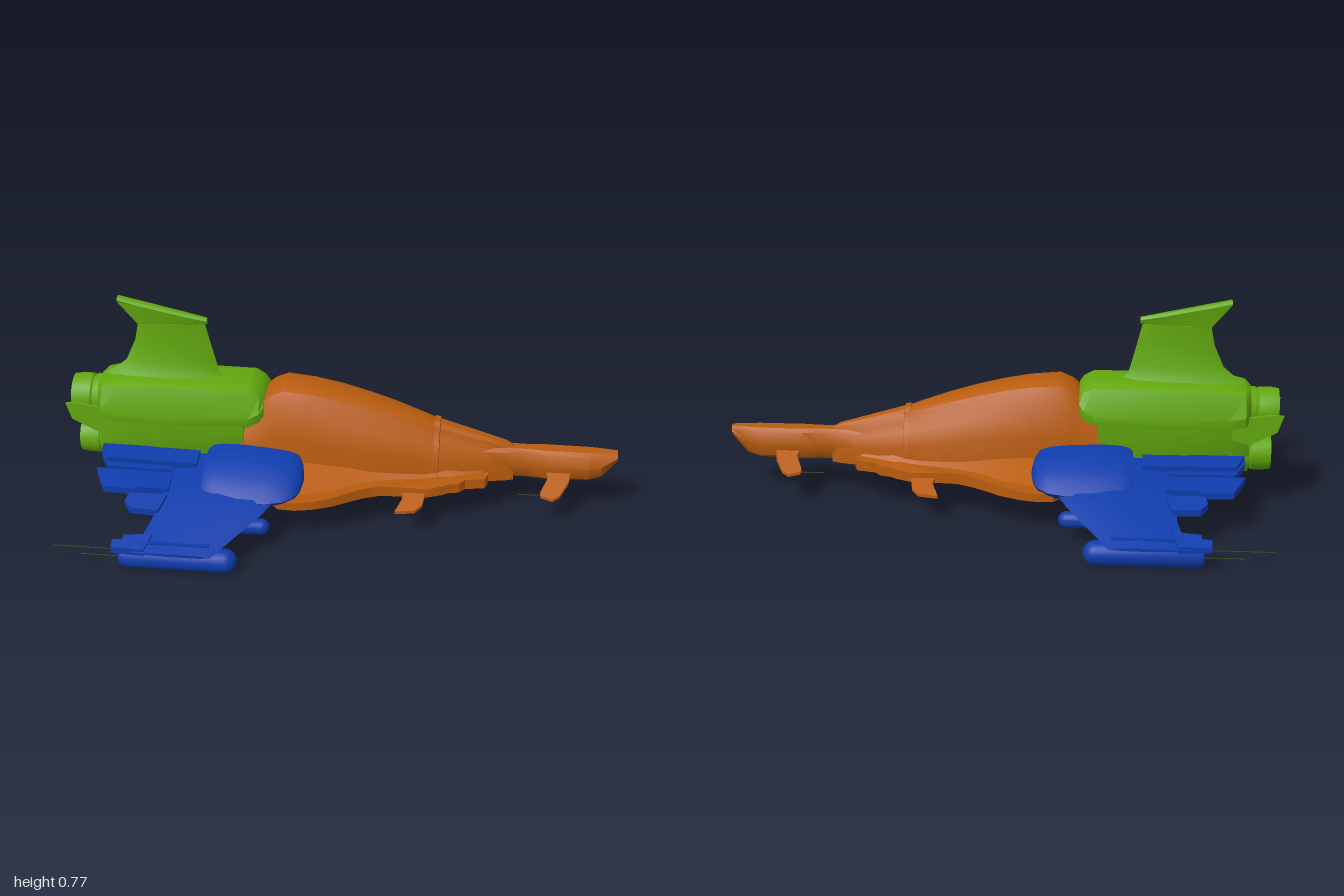
import * as THREE from 'three';
import { toCreasedNormals } from 'three/addons/utils/BufferGeometryUtils.js';

const orange = new THREE.MeshStandardMaterial({ color: 0xb85c0e });
const green = new THREE.MeshStandardMaterial({ color: 0x62a80f });
const blue = new THREE.MeshStandardMaterial({ color: 0x0f3cab });
const dark = new THREE.MeshStandardMaterial({ color: 0x2c3a12 });
const greenOpen = new THREE.MeshStandardMaterial({ color: 0x62a80f, side: THREE.DoubleSide });

// Solid through rings of [x, y, z] points; the end caps are triangulated with axis `drop` left out.
function loft(rings, drop, side = 1) {
  const tris = [], n = rings[0].length;
  for (let i = 0; i < rings.length - 1; i++) {
    for (let j = 0; j < n; j++) {
      const k = (j + 1) % n, a = rings[i], b = rings[i + 1];
      tris.push([a[j], a[k], b[k]], [a[j], b[k], b[j]]);
    }
  }
  const cap = (ring, flip) => {
    const flat = ring.map(p => new THREE.Vector2(...p.filter((_, i) => i !== drop)));
    const sign = Math.sign(THREE.ShapeUtils.area(flat));
    for (const f of THREE.ShapeUtils.triangulateShape(flat, [])) {
      const same = Math.sign(THREE.ShapeUtils.area(f.map(i => flat[i]))) === sign;
      const t = f.map(i => ring[i]);
      tris.push(same !== flip ? t : t.reverse());
    }
  };
  cap(rings[0], true);
  cap(rings[rings.length - 1], false);
  // Turn every face outward using the signed volume
  let volume = 0;
  for (const t of tris) {
    const [a, b, c] = t.map(p => new THREE.Vector3(p[0], p[1], p[2] * side));
    volume += a.dot(b.cross(c));
  }
  const pos = tris.flatMap(t => (volume < 0 ? [...t].reverse() : t).flatMap(p => [p[0], p[1], p[2] * side]));
  const g = new THREE.BufferGeometry();
  g.setAttribute('position', new THREE.Float32BufferAttribute(pos, 3));
  return toCreasedNormals(g, 0.55);
}

// Ring at x from half-outline points [z, y], mirrored across the centre plane
const mirrored = (x, half) =>
  [...half, ...[...half].reverse().map(([z, y]) => [-z, y])].map(([z, y]) => [x, y, z]);

// Wing-like section at z: leading x, trailing x, height, thickness
const foil = (z, lead, trail, y, t) =>
  [[0, 0], [0.15, 0.4], [0.5, 0.5], [1, 0.12], [1, -0.12], [0.5, -0.5], [0.15, -0.4]]
    .map(([u, v]) => [lead + (trail - lead) * u, y + v * t, z]);

// Plate with an [x, z] outline; heights come from a rule of x and z
const plate = (outline, top, bottom) =>
  [bottom, top].map(f => outline.map(([x, z]) => [x, f(x, z), z]));

// Lathe around the x axis from [radius, x] points
function turned(points, y, z, segments = 24) {
  const g = new THREE.LatheGeometry(points.map(p => new THREE.Vector2(...p)), segments);
  g.rotateZ(-Math.PI / 2);
  g.translate(0, y, z);
  return toCreasedNormals(g, 0.6);
}

// Round-nosed pod from x0 to x1
function pod(x0, x1, r, y, z) {
  const pts = [[0, x0], [r * 0.8, x0], [r, x0 + 0.015]];
  for (let i = 0; i <= 8; i++) {
    const a = i / 8 * Math.PI / 2;
    pts.push([r * Math.cos(a), x1 - r + r * Math.sin(a)]);
  }
  return turned(pts, y, z);
}

export function createModel() {
  const model = new THREE.Group();
  const add = (name, geometry, material) => {
    const m = new THREE.Mesh(geometry, material);
    m.name = name;
    model.add(m);
  };
  const rod = (name, x0, x1, r, y, z, material) =>
    add(name, turned([[0, x0], [r, x0], [r, x1], [0, x1]], y, z, 8), material);

  // Main hull: x, top, top half-width, shoulder height, lower half-width
  const hull = [
    [-0.36, 0.35, 0.09, 0.25, 0.125], [-0.27, 0.43, 0.09, 0.27, 0.13], [-0.245, 0.452, 0.09, 0.28, 0.133],
    [-0.2, 0.472, 0.09, 0.29, 0.135], [-0.1, 0.463, 0.088, 0.29, 0.138], [0, 0.445, 0.083, 0.28, 0.138],
    [0.1, 0.42, 0.076, 0.265, 0.133], [0.2, 0.39, 0.068, 0.25, 0.123], [0.3, 0.355, 0.058, 0.23, 0.108],
    [0.345, 0.337, 0.052, 0.22, 0.1]];
  const hullRing = ([x, yt, wt, ym, wm]) => mirrored(x,
    [[wt * 0.45, yt], [wt * 0.8, yt - 0.012], [wt, yt - 0.04], [(wt + wm) / 2, (yt + ym) / 2 - 0.01], [wm, ym], [wm, 0.125]]);
  add('hull', loft(hull.map(hullRing), 0), orange);

  // Cockpit cover in front of the hull, with a raised rim at the seam
  const canopy = [[0.34, 0.345, 0.05, 0.22, 0.1], [0.36, 0.343, 0.048, 0.22, 0.098], [0.362, 0.335, 0.046, 0.218, 0.095],
    [0.5, 0.295, 0.035, 0.195, 0.06], [0.6, 0.267, 0.022, 0.19, 0.04], [0.63, 0.25, 0.015, 0.19, 0.03]];
  add('canopy', loft(canopy.map(hullRing), 0), orange);

  // Long nose: x, bottom, top, half-width
  const nose = [[0.52, 0.13, 0.25, 0.055], [0.62, 0.132, 0.25, 0.038], [0.68, 0.132, 0.25, 0.036], [0.74, 0.13, 0.25, 0.047],
    [0.9, 0.135, 0.25, 0.045], [0.945, 0.15, 0.25, 0.036], [1, 0.215, 0.25, 0.02]];
  add('nose', loft(nose.map(([x, b, t, w]) =>
    mirrored(x, [[w * 0.5, t], [w * 0.75, t - 0.012], [w, (b + t) / 2], [w * 0.7, b + 0.012], [w * 0.4, b]])), 0), orange);

  // Upper rear body: x, bottom, top, half-width
  const upper = [[-0.27, 0.37, 0.435, 0.105], [-0.285, 0.35, 0.455, 0.118], [-0.32, 0.335, 0.472, 0.13],
    [-0.6, 0.325, 0.472, 0.135], [-0.8, 0.33, 0.468, 0.13], [-0.86, 0.335, 0.455, 0.12], [-0.88, 0.34, 0.44, 0.08]];
  add('upperRearBody', loft(upper.map(([x, b, t, w]) =>
    mirrored(x, [[w * 0.5, t], [w * 0.72, t - 0.012], [w, b + 0.035], [w * 0.96, b], [w * 0.7, b - 0.01]])), 0), green);

  // Lower rear body
  const lower = [[-0.34, 0.12, 1], [-0.65, 0.115, 1], [-0.8, 0.1, 0.97], [-0.88, 0.065, 0.85]];
  add('lowerRearBody', loft(lower.map(([x, w, s]) =>
    mirrored(x, [[w, 0.2 + 0.15 * s], [w, 0.21], [w * 0.8, 0.165], [w * 0.4, 0.13]])), 0), green);

  // Engine nozzles
  const nozzle = (r, x) => [[0, x + 0.07], [r * 0.8, x + 0.05], [r * 0.86, x], [r * 0.94, x],
    [r, x + 0.03], [r, x + 0.07], [r * 0.93, x + 0.075], [r, x + 0.085], [r, x + 0.2]];
  add('upperEngine', turned(nozzle(0.076, -0.98), 0.368, 0), greenOpen);
  add('lowerEngine', turned(nozzle(0.067, -0.96), 0.198, 0), greenOpen);

  // Tail fin levels: y, front x, rear x, half-thickness
  const fin = [[0.46, -0.41, -0.86, 0.05], [0.485, -0.44, -0.82, 0.036], [0.52, -0.45, -0.78, 0.023],
    [0.6, -0.47, -0.745, 0.014], [0.675, -0.488, -0.73, 0.016]];
  add('tailFin', loft(fin.map(([y, f, r, t]) =>
    [[0, 0], [0.15, 0.7], [0.5, 1], [0.85, 0.7], [1, 0], [0.85, -0.7], [0.5, -1], [0.15, -0.7]]
      .map(([u, v]) => [f + (r - f) * u, y, v * t])), 1), green);
  // Sloping cap on the fin: x, bottom, top, half-width
  const finCap = [[-0.48, 0.68, 0.7, 0.012], [-0.56, 0.672, 0.717, 0.018], [-0.73, 0.67, 0.754, 0.022], [-0.8, 0.752, 0.77, 0.02]];
  add('finCap', loft(finCap.map(([x, b, t, w]) =>
    mirrored(x, [[w * 0.5, t], [w, t - 0.008], [w * 0.6, b]])), 0), green);

  for (const s of [1, -1]) {
    const side = s === 1 ? 'left' : 'right';
    const both = (name, rings, drop, material) => add(side + name, loft(rings, drop, s), material);

    // Pointed plates beside the upper engine
    const cheek = [[-0.995, 0.372], [-0.975, 0.31], [-0.88, 0.26], [-0.82, 0.275], [-0.7, 0.34], [-0.85, 0.36], [-0.96, 0.375]];
    both('EnginePlate', [0.083, 0.093].map(z => cheek.map(([x, y]) => [x, y, z])), 2, green);

    // Flat strake along the hull with a scalloped edge
    const strake = [[-0.34, 0.08], [-0.34, 0.15], [-0.19, 0.325], [-0.13, 0.328], [-0.07, 0.315], [0, 0.285], [0.06, 0.245],
      [0.11, 0.215], [0.16, 0.195], [0.24, 0.19], [0.32, 0.19], [0.38, 0.165], [0.4, 0.15], [0.44, 0.14], [0.46, 0.115],
      [0.53, 0.1], [0.54, 0.07], [0.54, 0.03]];
    both('Strake', plate(strake, (x, z) => 0.18 - 0.1 * Math.max(0, z - 0.08) - Math.max(0, x) * 0.03, () => 0.124), 1, orange);
    // Raised blend from the hull side down to the strake
    const blend = [[-0.3, 0.31], [-0.1, 0.3], [0, 0.26], [0.1, 0.2], [0.2, 0.165], [0.4, 0.12], [0.52, 0.07]];
    both('StrakeBlend', blend.map(([x, w]) =>
      [[0.04, 0.24 - Math.max(0, x) * 0.1], [w * 0.6, 0.195], [w, 0.145], [0.04, 0.13]].map(([z, y]) => [x, y, z])), 0, orange);

    // Small drooping fin on the strake
    const finlet = [[0.23, 0.17], [0.245, 0.21], [0.22, 0.268], [0.29, 0.26], [0.315, 0.235], [0.325, 0.17]];
    both('StrakeFin', plate(finlet, (x, z) => 0.15 - (z - 0.17) * 0.42, (x, z) => 0.135 - (z - 0.17) * 0.38), 1, orange);

    // Short barrels at the strake's front
    [0.06, 0.08, 0.1].forEach((z, i) => rod(side + 'Barrel', 0.38, 0.54 - i * 0.02, 0.009, 0.155 - i * 0.008, s * z, orange));

    // Nose canard and its thin rod
    const canard = [[0.74, 0.02], [0.755, 0.06], [0.73, 0.118], [0.733, 0.13], [0.775, 0.142], [0.8, 0.125], [0.83, 0.07], [0.835, 0.02]];
    both('Canard', plate(canard, (x, z) => 0.19 - z * 0.5, (x, z) => 0.17 - z * 0.43), 1, orange);
    rod(side + 'CanardRod', 0.65, 0.75, 0.002, 0.12, s * 0.12, dark);

    // Wing
    both('Wing', [foil(0.08, -0.2, -0.62, 0.195, 0.05), foil(0.2, -0.19, -0.605, 0.185, 0.05), foil(0.33, -0.2, -0.6, 0.16, 0.045),
      foil(0.4, -0.24, -0.605, 0.14, 0.036), foil(0.5, -0.315, -0.63, 0.11, 0.026), foil(0.595, -0.385, -0.665, 0.082, 0.012)], 2, blue);

    // Shoulder fairing: one arched outline scaled along x
    const arch = [[0.1, 0.262], [0.16, 0.26], [0.22, 0.246], [0.28, 0.222], [0.325, 0.195], [0.362, 0.162], [0.33, 0.132], [0.2, 0.135], [0.1, 0.14]];
    const scales = [[-0.465, 0.72], [-0.45, 0.83], [-0.42, 0.93], [-0.33, 1], [-0.23, 0.97], [-0.17, 0.87], [-0.135, 0.68], [-0.117, 0.42], [-0.11, 0.12]];
    both('ShoulderFairing', scales.map(([x, k]) =>
      arch.map(([z, y]) => [x, 0.19 + (y - 0.19) * k, 0.22 + (z - 0.22) * k])), 0, blue);

    // Trailing flaps, following the wing's droop
    const droop = z => z < 0.33 ? 0.215 - 0.13 * z : 0.172 - 0.33 * (z - 0.33);
    const flaps = [
      [[-0.58, 0.09], [-0.865, 0.1], [-0.86, 0.14], [-0.825, 0.215], [-0.58, 0.22]],
      [[-0.58, 0.235], [-0.86, 0.228], [-0.815, 0.33], [-0.7, 0.335], [-0.7, 0.325], [-0.58, 0.325]],
      [[-0.58, 0.35], [-0.715, 0.35], [-0.725, 0.385], [-0.7, 0.415], [-0.6, 0.42]],
      [[-0.6, 0.52], [-0.7, 0.53], [-0.7, 0.55], [-0.735, 0.552], [-0.735, 0.585], [-0.62, 0.59]]];
    for (const f of flaps) both('Flap', plate(f, (x, z) => droop(z) + 0.008, (x, z) => droop(z) - 0.016), 1, blue);
    // Raised inner flap block
    both('FlapBlock', plate([[-0.5, 0.11], [-0.86, 0.11], [-0.83, 0.19], [-0.5, 0.2]],
      (x, z) => 0.235 - z * 0.1, () => 0.165), 1, blue);

    // Pods beneath the wing, with a pylon and thin rods
    add(side + 'TipPod', pod(-0.71, -0.3, 0.043, 0.045, s * 0.55), blue);
    add(side + 'InnerPod', pod(-0.62, -0.21, 0.029, 0.09, s * 0.39), blue);
    const pylon = new THREE.BoxGeometry(0.25, 0.04, 0.02);
    add(side + 'Pylon', pylon.clone().translate(-0.52, 0.085, s * 0.55), blue);
    add(side + 'InnerPylon', pylon.clone().translate(-0.45, 0.12, s * 0.39), blue);
    rod(side + 'TipRod', -0.945, -0.7, 0.002, 0.065, s * 0.55, dark);
    rod(side + 'LowerTipRod', -0.85, -0.7, 0.002, 0.04, s * 0.555, dark);
  }
  return model;
}
